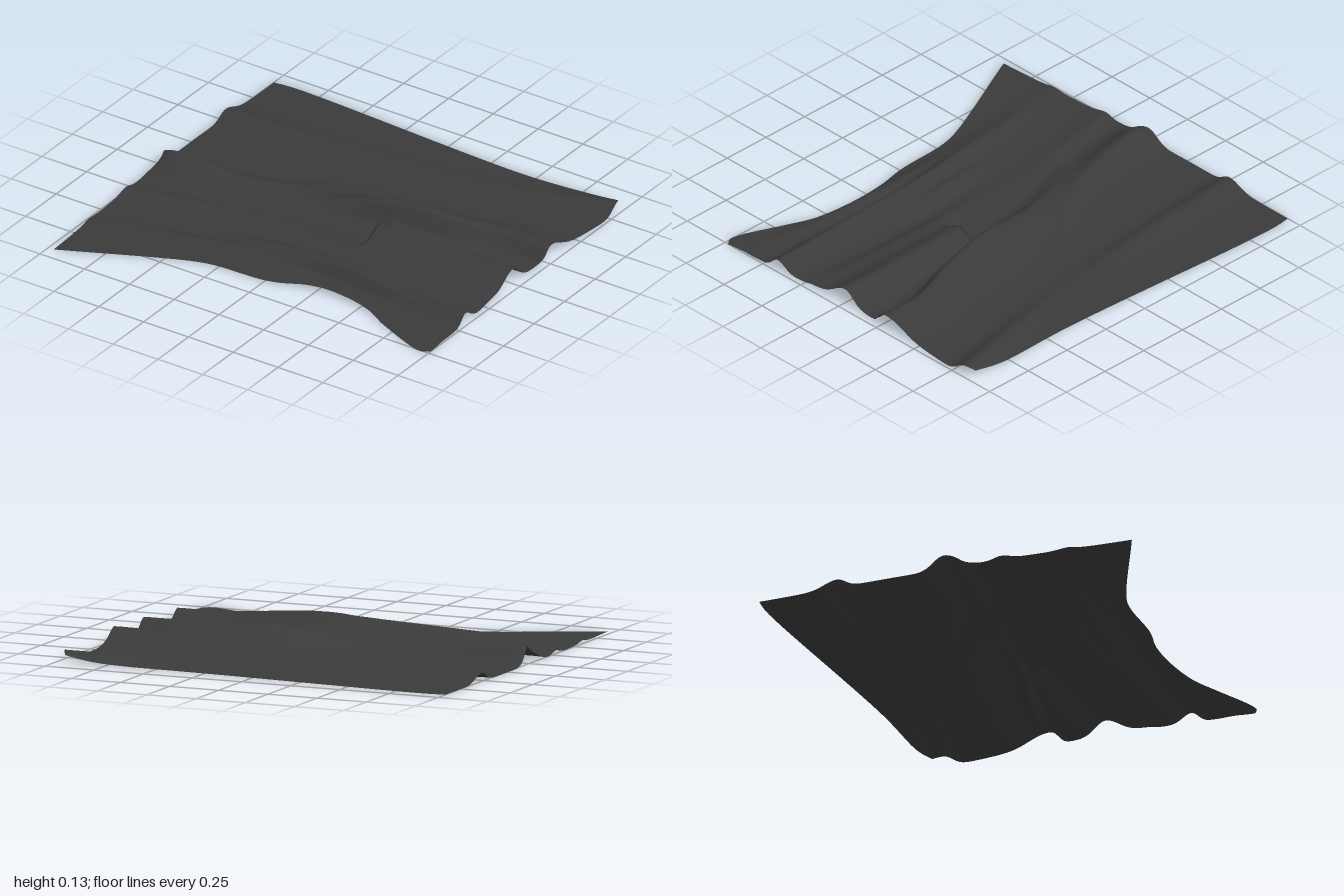
import * as THREE from 'three';

// outline of the cloth as four curves of [x, z] points
const edge = (pts) => new THREE.CatmullRomCurve3(
  pts.map(([x, z]) => new THREE.Vector3(x, 0, z)), false, 'centripetal');
const back = edge([[-1, -0.92], [-0.88, -0.93], [0.39, -0.865], [0.8, -0.875], [0.96, -0.865]]);
const front = edge([[-0.97, 0.93], [-0.38, 0.66], [-0.27, 0.635], [0, 0.62], [0.2, 0.57],
  [0.35, 0.56], [0.55, 0.59], [0.7, 0.66], [0.96, 0.755], [1, 0.73]]);
const rightEnd = edge([[-1, -0.92], [-1, -0.05], [-0.975, 0.05], [-1, 0.13], [-0.97, 0.93]]);
const leftEnd = edge([[0.96, -0.865], [0.985, -0.81], [0.965, -0.4], [0.98, -0.24], [0.96, -0.18], [1, 0.73]]);

// bell-shaped section across a fold, steeper on one side
const bell = (d, behind, ahead) => Math.exp(-((d / (d < 0 ? behind : ahead)) ** 2));

// long fold: smooth crest through [x, z, height] points
function fold(behind, ahead, points) {
  const curve = new THREE.CatmullRomCurve3(points.map(([x, z, h]) => new THREE.Vector3(x, h, z)), false, 'centripetal');
  const crest = curve.getPoints(80);
  return (x, z) => {
    const i = THREE.MathUtils.clamp(crest.findIndex((p) => p.x >= x), 1, crest.length - 1);
    const a = crest[i - 1], b = x > crest.at(-1).x ? a : crest[i];
    const t = a === b ? 0 : THREE.MathUtils.clamp((x - a.x) / (b.x - a.x), 0, 1);
    const h = Math.max(0, THREE.MathUtils.lerp(a.y, b.y, t));
    return h * bell(z - THREE.MathUtils.lerp(a.z, b.z, t), behind, ahead);
  };
}

// short ripple: fades out along x, with a sloped and bowed crest
const ripple = (cx, cz, h, reach, slope, bow, behind, ahead) => (x, z) => {
  const dx = x - cx;
  return h * bell(dx, reach, reach) * bell(z - cz - slope * dx - bow * dx * dx, behind, ahead);
};

const mainFold = fold(0.13, 0.055, [[-0.6, 0.08, 0], [-0.2, -0.07, 0.045], [0.25, -0.165, 0.125],
  [0.5, -0.21, 0.1], [0.75, -0.28, 0.077], [1, -0.28, 0.075]]);
const rightFold = fold(0.07, 0.1, [[-1, 0, 0.075], [-0.92, 0, 0.095], [-0.6, -0.04, 0.055],
  [-0.4, -0.11, 0.03], [-0.1, -0.3, 0.008], [0.2, -0.4, 0]]);
const backFold = fold(0.09, 0.06, [[-1, -0.53, 0.042], [-0.5, -0.56, 0.03], [0.2, -0.64, 0.015], [1, -0.82, 0.05]]);
const frontFold = fold(0.06, 0.045, [[-1, 0.62, 0.01], [-0.6, 0.54, 0.02], [0, 0.44, 0.07],
  [0.25, 0.41, 0.09], [0.75, 0.43, 0.05], [1, 0.42, 0.05]]);
const creases = [mainFold, rightFold, backFold, frontFold,
  ripple(0, 0.345, 0.035, 0.3, -0.12, 0, 0.05, 0.03),
  ripple(0.4, 0.165, 0.03, 0.5, 0, 0.12, 0.08, 0.05),
  ripple(0.1, 0.535, 0.03, 0.6, 0, 0.12, 0.05, 0.05),
  ripple(-0.9, 0.27, 0.018, 0.7, -0.2, 0, 0.05, 0.06)];

export function createModel() {
  const group = new THREE.Group();
  group.name = 'cloth';

  // flat grid stretched between the four edges, then raised into folds
  const n = 120;
  const geometry = new THREE.PlaneGeometry(2, 2, n, n);
  const [B, F, R, L] = [back, front, rightEnd, leftEnd].map((curve) => curve.getSpacedPoints(n));
  const pos = geometry.attributes.position;
  for (let j = 0; j <= n; j++) {
    for (let i = 0; i <= n; i++) {
      const u = i / n, v = j / n;
      const blend = (k) => (1 - v) * B[i][k] + v * F[i][k] + (1 - u) * R[j][k] + u * L[j][k]
        - (1 - u) * (1 - v) * B[0][k] - u * (1 - v) * B[n][k] - (1 - u) * v * F[0][k] - u * v * F[n][k];
      const x = blend('x'), z = blend('z');
      const y = creases.reduce((sum, crease) => sum + crease(x, z), 0);
      pos.setXYZ(j * (n + 1) + i, x, y, z);
    }
  }
  geometry.computeVertexNormals();

  const sheet = new THREE.Mesh(geometry, new THREE.MeshStandardMaterial({ color: 0x3a3a3a, side: THREE.DoubleSide }));
  sheet.name = 'foldedSheet';
  group.add(sheet);
  return group;
}
